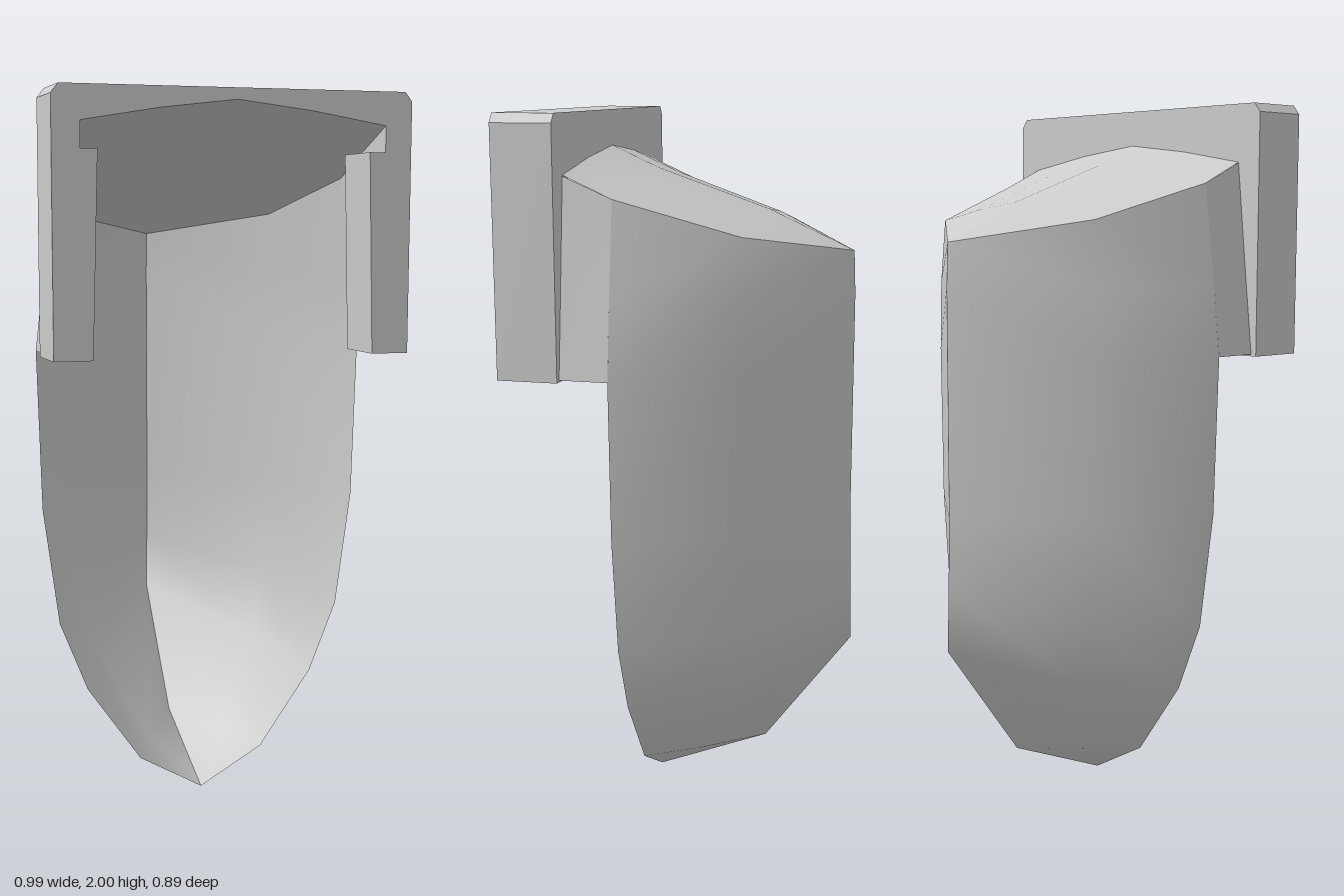
import * as THREE from 'three';

const grey = new THREE.MeshStandardMaterial({ color: 0xcccccc, side: THREE.DoubleSide });

// Smooth surface through rows of points; flip reverses the facing
function loft(name, rows, flip = false) {
  const cols = rows[0].length;
  const index = [];
  for (let i = 0; i < rows.length - 1; i++) {
    for (let j = 0; j < cols - 1; j++) {
      const a = i * cols + j, b = a + cols;
      if (flip) index.push(a, a + 1, b, a + 1, b + 1, b);
      else index.push(a, b, a + 1, a + 1, b, b + 1);
    }
  }
  const geo = new THREE.BufferGeometry();
  geo.setAttribute('position', new THREE.Float32BufferAttribute(rows.flat(2), 3));
  geo.setIndex(index);
  geo.computeVertexNormals();
  const mesh = new THREE.Mesh(geo, grey);
  mesh.name = name;
  return mesh;
}

const mirror = rows => rows.map(r => r.map(([x, y, z]) => [-x, y, z]));

export function createModel() {
  const group = new THREE.Group();

  // Half of the scoop: each row runs from the rear keel round to the front rim
  const half = [
    [[0, 0.005, 0.14], [0, 0.005, 0.14], [0, 0.005, 0.14]],
    [[0, 0.14, -0.19], [0.12, 0.125, -0.01], [0.185, 0.11, 0.14]],
    [[0, 0.48, -0.445], [0.25, 0.38, -0.16], [0.34, 0.33, 0.14]],
    [[0, 0.65, -0.44], [0.31, 0.57, -0.19], [0.42, 0.53, 0.14]],
    [[0, 0.86, -0.435], [0.335, 0.86, -0.19], [0.465, 0.86, 0.14]],
    [[0, 1.3, -0.435], [0.342, 1.3, -0.19], [0.478, 1.3, 0.14]],
    [[0, 1.5, -0.435], [0.338, 1.5, -0.188], [0.456, 1.5, 0.14]],
    [[0, 1.62, -0.43], [0.32, 1.68, -0.185], [0.42, 1.78, 0.14]],
  ];
  group.add(loft('leftShell', half), loft('rightShell', mirror(half), true));

  // Short side walls joining the scoop to the frame
  const cheek = [
    [[0.478, 1.305, 0.14], [0.478, 1.305, 0.28]],
    [[0.456, 1.5, 0.14], [0.456, 1.5, 0.28]],
    [[0.42, 1.78, 0.14], [0.42, 1.84, 0.28]],
  ];
  group.add(loft('leftCheek', cheek), loft('rightCheek', mirror(cheek), true));

  // Crowned roof sloping down to the rear point
  const roof = [
    // z, half width, edge height, ridge height
    [0.275, 0.42, 1.84, 1.9],
    [0.14, 0.42, 1.78, 1.84],
    [-0.185, 0.32, 1.68, 1.73],
    [-0.43, 0, 1.62, 1.62],
  ].map(([z, w, edge, ridge]) => [-1, -0.5, 0, 0.5, 1].map(t =>
    [t * w, edge + (ridge - edge) * (1 - Math.abs(t) ** 1.3), z]));
  group.add(loft('roof', roof, true));

  // Mounting frame: an arch with two legs
  const side = [[0.495, 1.3], [0.495, 1.975], [0.475, 2]];
  const opening = [[0.42, 1.91], [0.42, 1.84], [0.375, 1.84], [0.39, 1.3]];
  const neg = pts => pts.map(([x, y]) => [-x, y]);
  const outline = [
    ...side, ...neg(side).reverse(),
    ...neg(opening).reverse(), [-0.21, 1.945], [0, 1.97], [0.21, 1.945], ...opening,
  ];
  const shape = new THREE.Shape(outline.map(([x, y]) => new THREE.Vector2(x, y)));
  let geo = new THREE.ExtrudeGeometry(shape, { depth: 0.17, bevelEnabled: false });

  // Slope the top of the opening down to meet the roof
  const p = geo.attributes.position;
  for (let i = 0; i < p.count; i++) {
    const y = p.getY(i);
    if (p.getZ(i) < 0.01 && Math.abs(p.getX(i)) < 0.43 && y > 1.85 && y < 1.98) p.setY(i, y - 0.07);
  }
  geo.computeVertexNormals();
  geo.translate(0, 0, 0.275);
  const frame = new THREE.Mesh(geo, grey);
  frame.name = 'frame';
  group.add(frame);

  return group;
}
